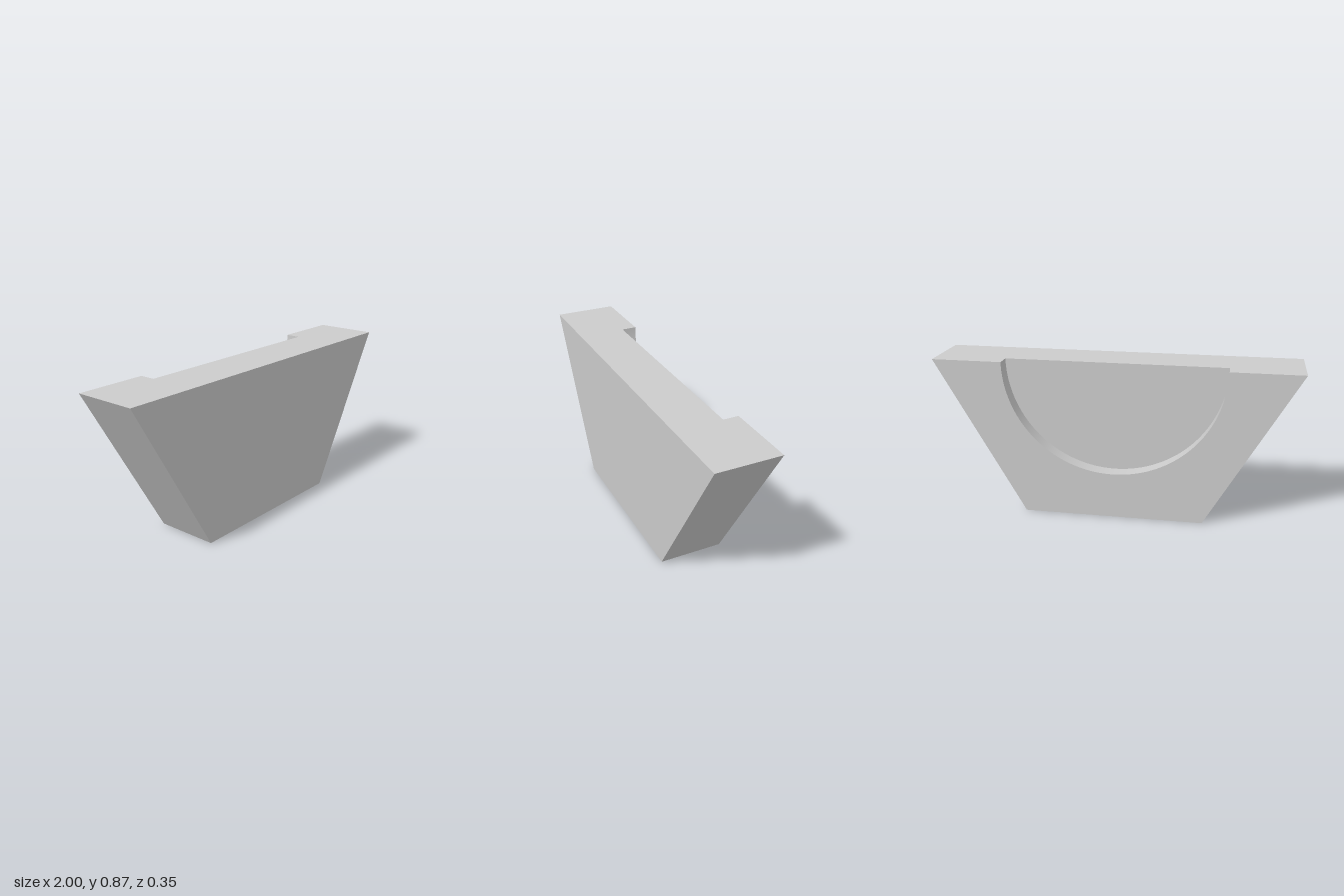
import * as THREE from 'three';
import { toCreasedNormals } from 'three/addons/utils/BufferGeometryUtils.js';

const HEIGHT = 0.866;   // half of a regular hexagon with unit sides
const BACK = -0.175, STEP = -0.09, FRONT = 0.175;
const RADIUS = 0.61;

// Half-hexagon outline, optionally with a semicircle cut from its top edge
function outline(recessed) {
  const s = new THREE.Shape();
  s.moveTo(-0.5, 0);
  s.lineTo(0.5, 0);
  s.lineTo(1, HEIGHT);
  if (recessed) {
    s.lineTo(RADIUS, HEIGHT);
    s.absarc(0, HEIGHT, RADIUS, 0, Math.PI, true);
  }
  s.lineTo(-1, HEIGHT);
  s.closePath();
  return s;
}

function slab(name, shape, z0, z1, material) {
  const geometry = new THREE.ExtrudeGeometry(shape, {
    depth: z1 - z0, bevelEnabled: false, curveSegments: 64,
  });
  geometry.translate(0, 0, z0);
  const mesh = new THREE.Mesh(toCreasedNormals(geometry, 0.4), material);
  mesh.name = name;
  return mesh;
}

export function createModel() {
  const group = new THREE.Group();
  group.name = 'halfHexagonBlock';
  const material = new THREE.MeshStandardMaterial({ color: 0xcccccc });
  // Solid front plate, whose back is the floor of the recess
  group.add(slab('frontPlate', outline(false), STEP, FRONT, material));
  // Rear rim around the semicircular recess
  group.add(slab('recessRim', outline(true), BACK, STEP, material));
  return group;
}
